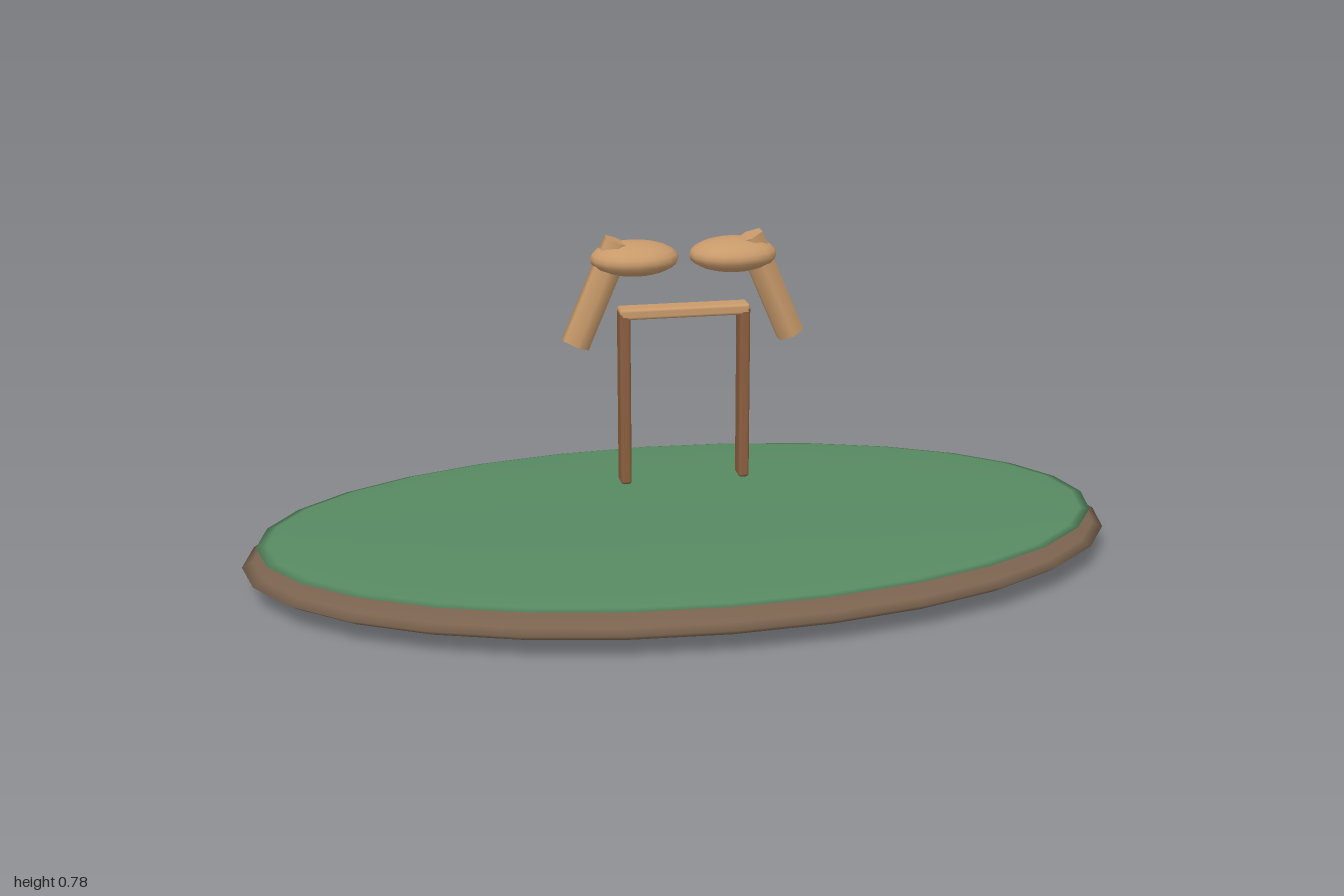
import * as THREE from 'three';
import { RoundedBoxGeometry } from 'three/addons/geometries/RoundedBoxGeometry.js';

const material = (name, color) => {
  const m = new THREE.MeshStandardMaterial({ color });
  m.name = name;
  return m;
};

export function createModel() {
  const soil = material('soil brown', 0x7a634f);
  const grass = material('grass green', 0x578a62);
  const darkWood = material('dark wood', 0x8b5f40);
  const lightWood = material('light wood', 0xc89a6b);

  const model = new THREE.Group();
  model.name = 'model';

  const add = (name, geometry, mat, x, y, z = 0) => {
    const mesh = new THREE.Mesh(geometry, mat);
    mesh.name = name;
    mesh.position.set(x, y, z);
    model.add(mesh);
    return mesh;
  };
  const ellipsoid = (rx, ry, rz, w, h) => new THREE.SphereGeometry(1, w, h).scale(rx, ry, rz);

  // Flattened ground discs
  add('groundBase', ellipsoid(1, 0.0585, 0.545, 28, 14), soil, 0, 0.0585);
  add('grassTop', ellipsoid(0.967, 0.0175, 0.523, 28, 14), grass, 0, 0.103);

  // Crossbar joining the two posts
  add('crossbar', new RoundedBoxGeometry(0.295, 0.025, 0.048, 2, 0.007), lightWood, 0, 0.6);

  for (const side of [-1, 1]) {
    const label = side > 0 ? 'left' : 'right';

    // Upright post
    add(label + 'Post', new RoundedBoxGeometry(0.025, 0.405, 0.048, 2, 0.008), darkWood, side * 0.136, 0.405);

    // Flattened round cap
    add(label + 'Cap', ellipsoid(0.099, 0.038, 0.078, 16, 12), lightWood, side * 0.111, 0.724);

    // Six-sided arm leaning outward through the cap
    const arm = add(label + 'Arm', new THREE.CylinderGeometry(0.034, 0.034, 0.25, 6), lightWood, side * 0.196, 0.649);
    arm.rotation.z = side * 0.402;
  }

  return model;
}
